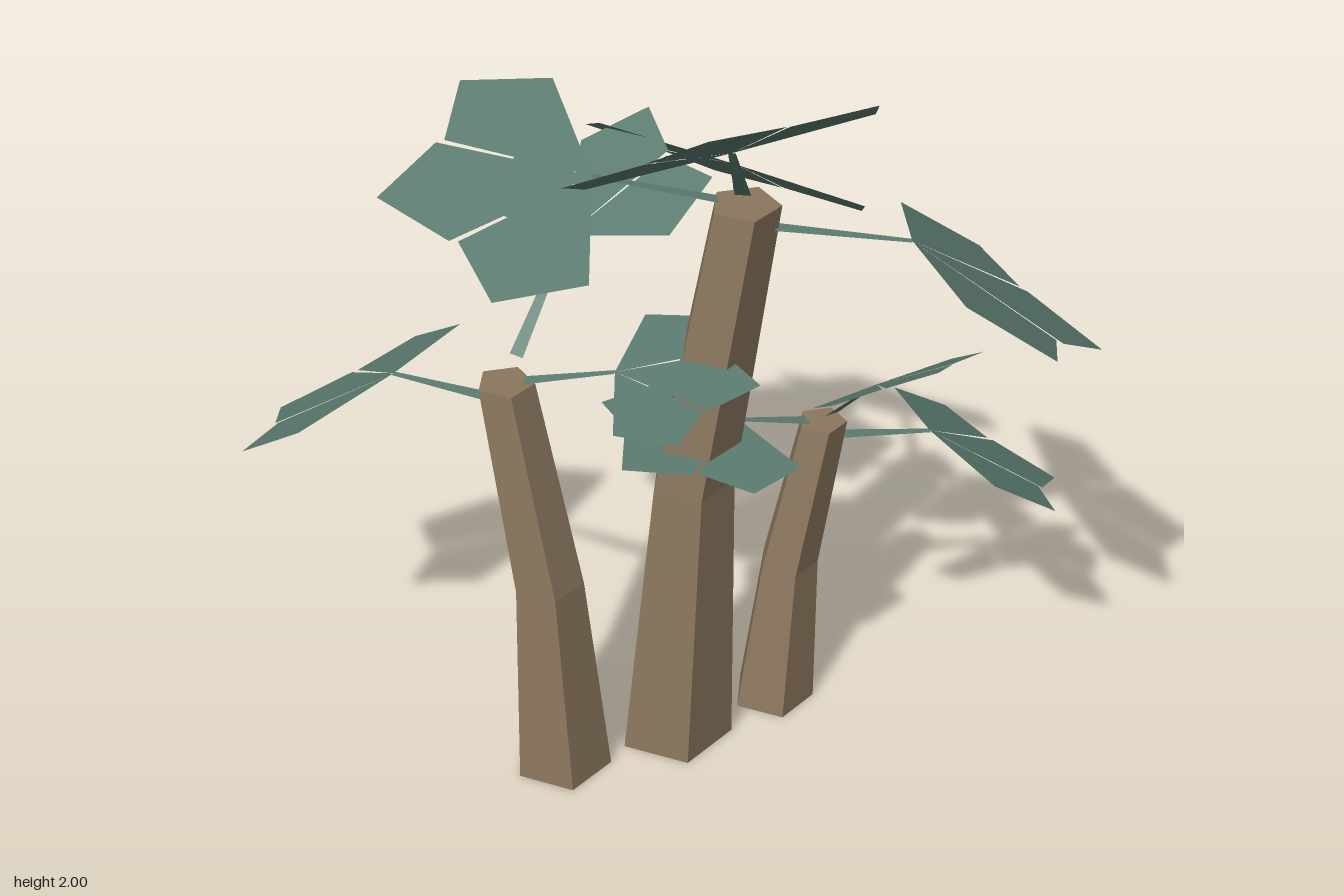
import * as THREE from 'three';

const bark = new THREE.MeshStandardMaterial({ name: 'bark', color: 0x8b775e, flatShading: true });
const foliage = new THREE.MeshStandardMaterial({ name: 'foliage', color: 0x5e7e73, flatShading: true, side: THREE.DoubleSide });

const v = (a) => new THREE.Vector3(...a);

// Five-sided trunk: ring centres at bottom, middle and top, tapering upwards
function makeTrunk(name, radius, rings) {
  const geo = new THREE.CylinderGeometry(1, 1, 2, 5, 2, false, Math.PI / 2);
  const taper = [1, 0.72, 0.58];
  const p = geo.attributes.position;
  for (let i = 0; i < p.count; i++) {
    const k = Math.round(p.getY(i)) + 1;
    const [x, y, z] = rings[k];
    const r = radius * taper[k];
    p.setXYZ(i, x + p.getX(i) * r, y, z + p.getZ(i) * r);
  }
  geo.computeVertexNormals();
  const mesh = new THREE.Mesh(geo, bark);
  mesh.name = name;
  return mesh;
}

// Flat leaf outline: three kite lobes fanned around the hub, middle lobe along +x
function leafShapes() {
  const at = (deg, r) => new THREE.Vector2(Math.cos(deg * Math.PI / 180) * r, Math.sin(deg * Math.PI / 180) * r);
  return [-55.5, 0, 55.5].map((a) => {
    const r = a === 0 ? 1 : 0.96;
    return new THREE.Shape([at(0, 0), at(a - 26.7, 0.78 * r), at(a, r), at(a + 26.7, 0.78 * r)]);
  });
}

// Leaf in the plane through the hub, the middle tip and one side tip
function makeLeaf(hub, tip, side) {
  const f = tip.clone().sub(hub);
  const size = f.length();
  f.normalize();
  const n = f.clone().cross(side.clone().sub(hub)).normalize();
  if (n.y < 0) n.negate();
  const w = n.clone().cross(f);
  const m = new THREE.Matrix4().makeBasis(f, w, n).scale(new THREE.Vector3(size, size, size)).setPosition(hub);
  const mesh = new THREE.Mesh(new THREE.ShapeGeometry(leafShapes()).applyMatrix4(m), foliage);
  mesh.name = 'leafBlade';
  return mesh;
}

// Flat tapered stem from the trunk top to the hub
function makeStem(anchor, hub) {
  const start = anchor.clone().lerp(hub, 0.18);
  const across = hub.clone().sub(anchor).cross(new THREE.Vector3(0, 1, 0)).normalize();
  const corner = (p, d) => p.clone().addScaledVector(across, d);
  const geo = new THREE.BufferGeometry().setFromPoints([
    corner(start, -0.018), corner(start, 0.018), corner(hub, 0.008), corner(hub, -0.008)]);
  geo.setIndex([0, 1, 2, 0, 2, 3]);
  geo.computeVertexNormals();
  const mesh = new THREE.Mesh(geo, foliage);
  mesh.name = 'leafStem';
  return mesh;
}

// Each leaf: drop of the stem below the trunk top, hub, middle tip, one side tip
const trees = [
  {
    name: 'tallTree', radius: 0.14,
    rings: [[0.008, 0, 0], [0.047, 0.74, 0], [0.163, 1.477, 0]],
    leaves: [
      [0, [0.15, 1.777, 0.31], [0.125, 1.997, 0.66], [-0.193, 1.78, 0.5]],
      [0, [-0.165, 1.573, 0.07], [-0.619, 1.554, 0.166], [-0.334, 1.495, 0.466]],
      [0.05, [0.53, 1.395, -0.01], [0.964, 1.12, -0.03], [0.8, 1.375, 0.395]],
      [0.05, [0.122, 1.4, -0.31], [0.055, 1.175, -0.672], [-0.245, 1.4, -0.48]],
    ],
  },
  {
    name: 'middleTree', radius: 0.117,
    rings: [[-0.249, 0, 0.143], [-0.276, 0.52, 0.127], [-0.367, 1.037, 0.08]],
    leaves: [
      [0.05, [-0.645, 0.955, -0.06], [-0.95, 0.738, -0.22], [-0.675, 0.81, -0.43]],
      [0, [-0.246, 1.3, -0.13], [-0.085, 1.472, -0.435], [0.04, 1.46, -0.17]],
      [0, [-0.115, 1.103, 0.12], [0.21, 1.097, 0.14], [0.02, 1.095, 0.4]],
    ],
  },
  {
    name: 'shortTree', radius: 0.101,
    rings: [[0.238, 0, -0.153], [0.268, 0.39, -0.177], [0.341, 0.783, -0.2]],
    leaves: [
      [0, [0.465, 1.008, -0.02], [0.6, 1.157, 0.15], [0.715, 1.085, -0.065]],
      [0.04, [0.595, 0.71, -0.285], [0.905, 0.51, -0.4], [0.665, 0.55, -0.61]],
      [0, [0.15, 0.842, -0.1], [-0.1, 0.852, 0.14], [0.2, 0.867, 0.25]],
    ],
  },
];

export function createModel() {
  const model = new THREE.Group();
  model.name = 'treeCluster';
  for (const t of trees) {
    const tree = new THREE.Group();
    tree.name = t.name;
    tree.add(makeTrunk('trunk', t.radius, t.rings));
    for (const [drop, hub, tip, side] of t.leaves) {
      const leaf = new THREE.Group();
      leaf.name = 'leaf';
      const anchor = v(t.rings[2]);
      anchor.y -= drop;
      leaf.add(makeStem(anchor, v(hub)), makeLeaf(v(hub), v(tip), v(side)));
      tree.add(leaf);
    }
    model.add(tree);
  }
  return model;
}
